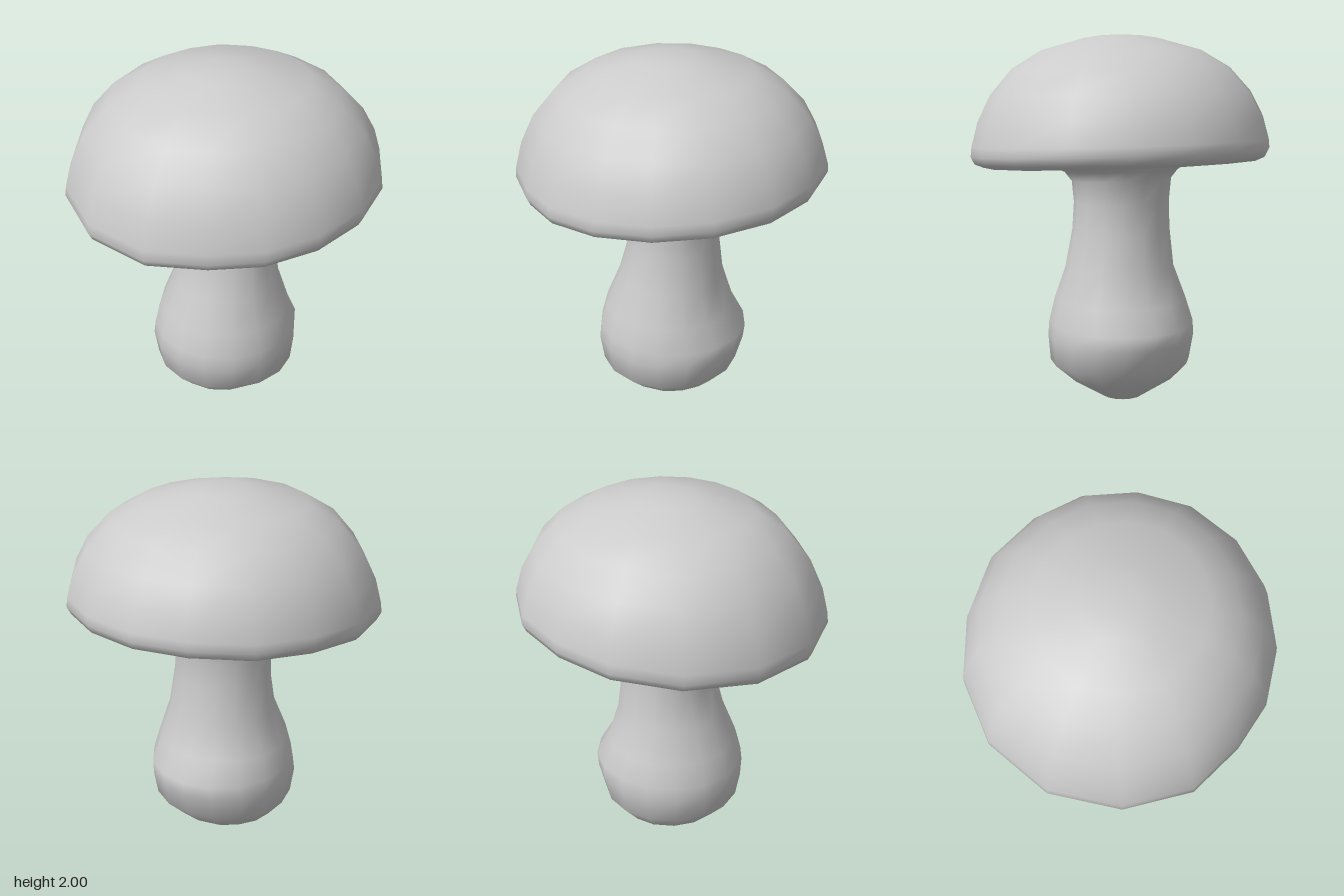
import * as THREE from 'three';
import { mergeVertices } from 'three/addons/utils/BufferGeometryUtils.js';

// Skin a stack of rings (each a loop of [x, y, z]) into one smooth surface
function loft(rings, name) {
  const n = rings[0].length;
  const index = [];
  for (let i = 0; i < rings.length - 1; i++) {
    for (let j = 0; j < n; j++) {
      const a = i * n + j, b = i * n + (j + 1) % n;
      index.push(a, a + n, b, b, a + n, b + n);
    }
  }
  let geometry = new THREE.BufferGeometry();
  geometry.setAttribute('position', new THREE.Float32BufferAttribute(rings.flat(2), 3));
  geometry.setIndex(index);
  geometry = mergeVertices(geometry);
  geometry.computeVertexNormals();
  const mesh = new THREE.Mesh(geometry, new THREE.MeshStandardMaterial({ color: 0xcccccc }));
  mesh.name = name;
  return mesh;
}

// Cap: an uneven 16-sided outline scaled along a dome profile, tipped forward at the rim
function createCap() {
  const outline = [
    [0.02, -0.83], [0.32, -0.77], [0.58, -0.61], [0.76, -0.35],
    [0.825, -0.06], [0.78, 0.24], [0.64, 0.5], [0.43, 0.68],
    [0.15, 0.83], [-0.22, 0.82], [-0.56, 0.64], [-0.78, 0.32],
    [-0.825, -0.04], [-0.73, -0.35], [-0.55, -0.61], [-0.27, -0.77],
  ];
  // [radius, height] from the middle of the underside, round the rim, to the crown
  const profile = [
    [0, 1.34], [0.4, 1.34], [0.6, 1.335], [0.7, 1.318], [0.76, 1.31], [0.81, 1.33], [0.83, 1.37],
    [0.825, 1.42], [0.79, 1.55], [0.72, 1.69], [0.6, 1.825],
    [0.44, 1.92], [0.2, 1.985], [0.1, 2], [0, 2],
  ];
  const rings = profile.map(([r, y]) => {
    const tilt = 0.07 * Math.min(1, (2 - y) / 0.63);
    return outline.map(([ox, oz]) => {
      const x = ox * r / 0.83, z = oz * r / 0.83;
      return [x, y - tilt * z, z];
    });
  });
  return loft(rings, 'cap');
}

// Stem: bulbous foot, narrow neck, flared where it meets the cap
function createStem() {
  // [height, reach to -x, +x, +z, -z]
  const sections = [
    [0, 0, 0, 0, 0],
    [0.005, 0.12, 0.11, 0.12, 0.12],
    [0.11, 0.3, 0.28, 0.3, 0.27],
    [0.21, 0.385, 0.395, 0.395, 0.37],
    [0.35, 0.405, 0.405, 0.42, 0.41],
    [0.43, 0.395, 0.4, 0.41, 0.42],
    [0.56, 0.36, 0.37, 0.375, 0.345],
    [0.74, 0.29, 0.31, 0.3, 0.29],
    [0.95, 0.268, 0.275, 0.24, 0.265],
    [1.1, 0.264, 0.262, 0.25, 0.257],
    [1.22, 0.272, 0.272, 0.265, 0.285],
    [1.27, 0.31, 0.31, 0.31, 0.33],
    [1.335, 0.44, 0.44, 0.44, 0.44],
    [1.36, 0.46, 0.46, 0.46, 0.46],
  ];
  const sides = 16;
  const rings = sections.map(([y, left, right, front, back]) =>
    Array.from({ length: sides }, (_, j) => {
      const t = j / sides * Math.PI * 2, c = Math.cos(t), s = Math.sin(t);
      const x = c * (c < 0 ? left : right), z = s * (s < 0 ? back : front);
      // the flare follows the tilt of the cap
      return [x, y > 1.2 ? y - 0.07 * z : y, z];
    }));
  return loft(rings, 'stem');
}

export function createModel() {
  const group = new THREE.Group();
  group.name = 'mushroom';
  group.add(createCap(), createStem());
  return group;
}
